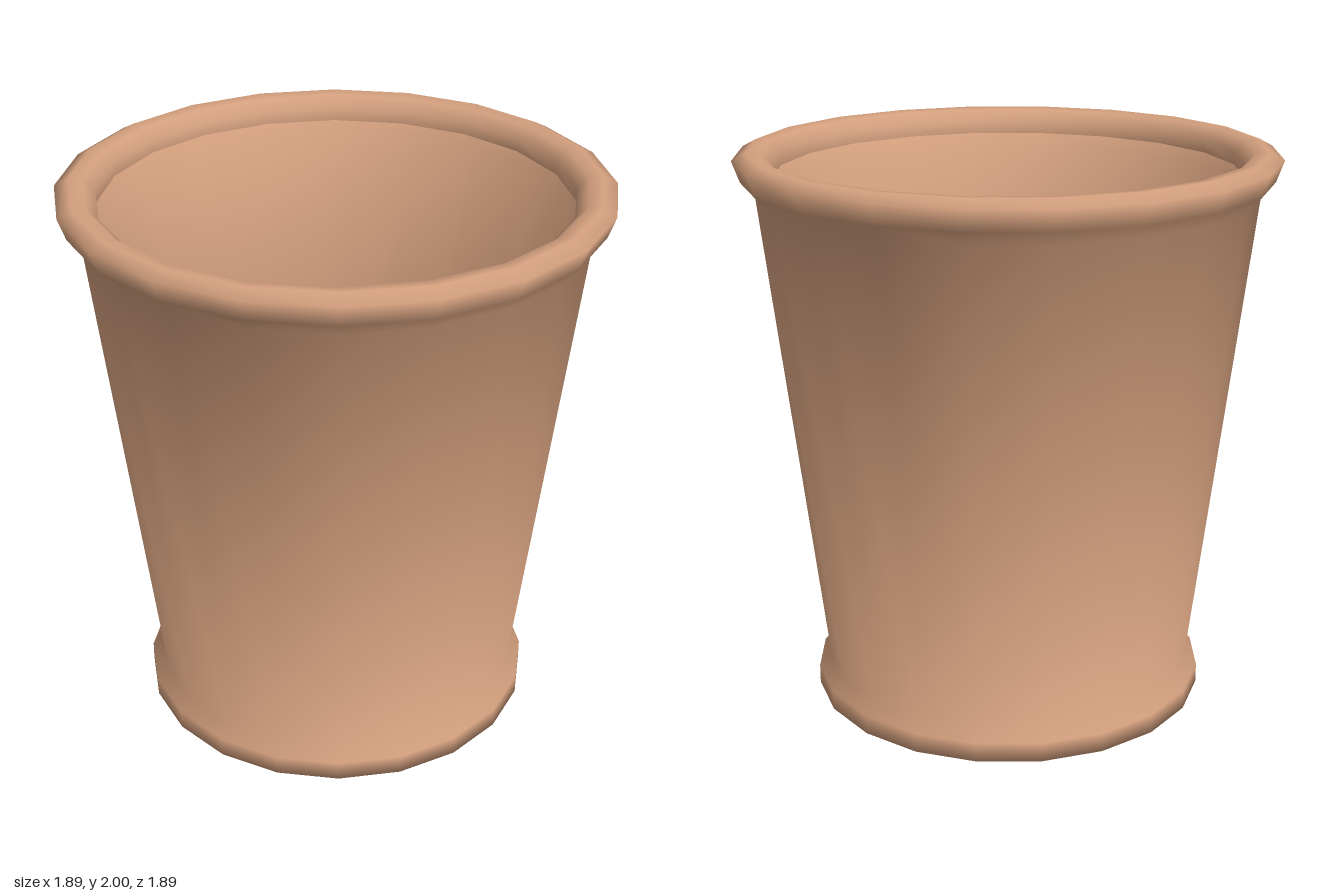
import * as THREE from 'three';

const SIDES = 20;

// Lathe whose ring normals average the neighbouring bands equally,
// so short bands such as the foot and rim soften the long wall.
function softLathe(points) {
  const bandNormals = points.slice(1).map((p, i) => {
    const d = p.clone().sub(points[i]).normalize();
    return new THREE.Vector2(d.y, -d.x);
  });
  const ringNormals = points.map((_, i) => {
    const below = bandNormals[Math.max(i - 1, 0)];
    const above = bandNormals[Math.min(i, bandNormals.length - 1)];
    return below.clone().add(above).normalize();
  });
  const geometry = new THREE.LatheGeometry(points, SIDES);
  const normal = geometry.attributes.normal;
  for (let side = 0; side <= SIDES; side++) {
    const a = (side / SIDES) * Math.PI * 2;
    ringNormals.forEach((n, ring) => {
      normal.setXYZ(side * points.length + ring, n.x * Math.sin(a), n.y, n.x * Math.cos(a));
    });
  }
  return geometry;
}

export function createModel() {
  const group = new THREE.Group();
  group.name = 'cup';

  const clay = new THREE.MeshStandardMaterial({ color: 0xd4a07e, side: THREE.DoubleSide });
  clay.name = 'clay';

  // Thin open shell: base, flared foot, tapering wall and a rolled rim.
  const base = [[0, 0], [0.713, 0]];
  const foot = [[0.713, 0.07], [0.668, 0.11]];
  const wall = [[0.872, 1.85]];
  const rim = [[0.92, 1.9], [0.947, 1.975], [0.9, 2], [0.85, 1.995], [0.81, 1.955], [0.812, 1.91]];

  const profile = [...base, ...foot, ...wall, ...rim]
    .map(([r, y]) => new THREE.Vector2(r, y));

  const shell = new THREE.Mesh(softLathe(profile), clay);
  shell.name = 'cupShell';
  group.add(shell);

  return group;
}
